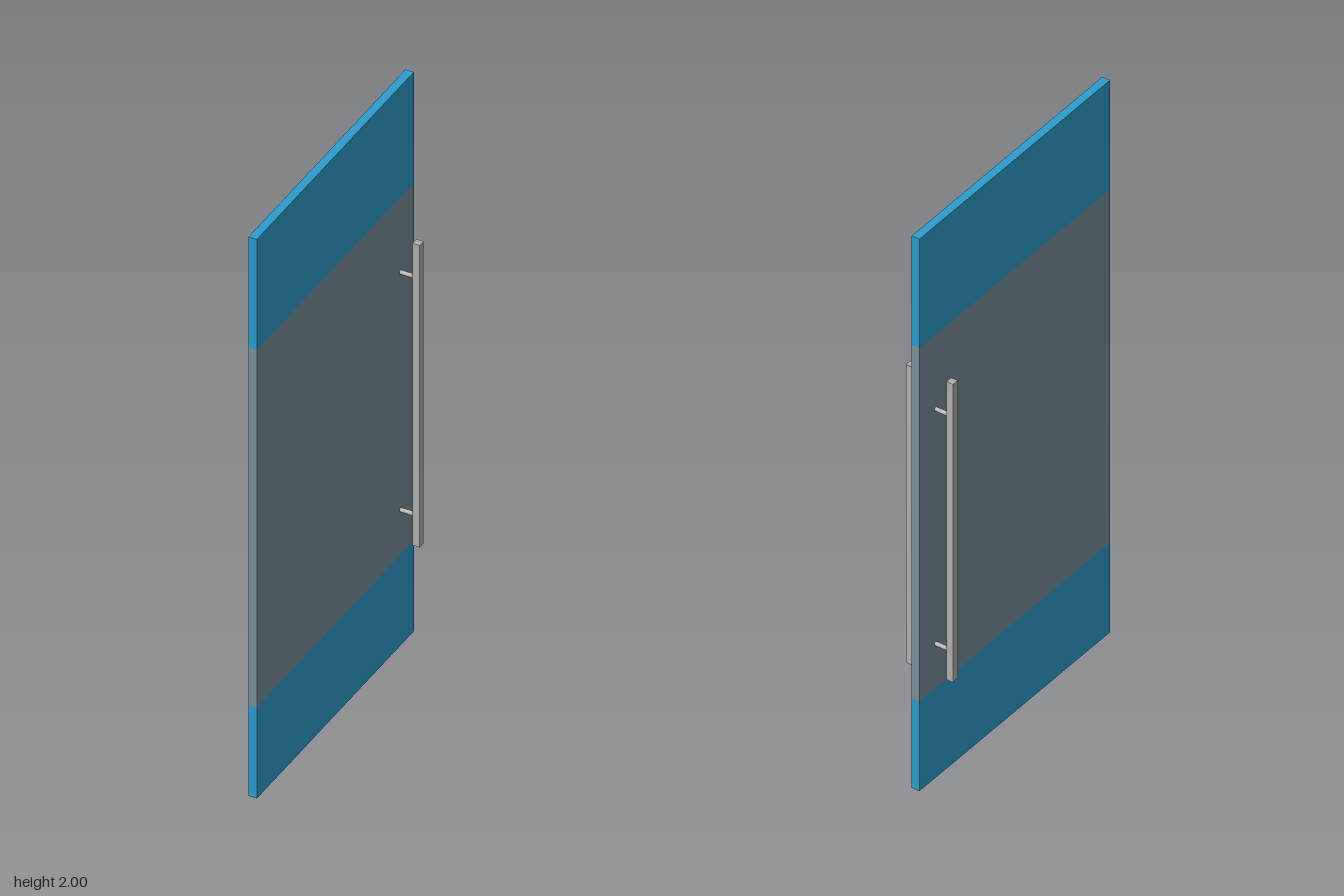
import * as THREE from 'three';

export function createModel() {
  const model = new THREE.Group();
  model.name = 'door';

  const blue = new THREE.MeshStandardMaterial({ color: 0x2e9bcc });
  blue.name = 'blue panel';
  const frosted = new THREE.MeshStandardMaterial({ color: 0x768f98 });
  frosted.name = 'grey band';
  const steel = new THREE.MeshStandardMaterial({ color: 0xb3b0ae });
  steel.name = 'brushed steel';

  const add = (parent, name, geometry, material, x, y, z) => {
    const mesh = new THREE.Mesh(geometry, material);
    mesh.name = name;
    mesh.position.set(x, y, z);
    parent.add(mesh);
    return mesh;
  };

  // Door leaf: three stacked slabs forming one flush panel
  const thickness = 0.028, width = 0.96;
  const slabs = [
    ['lowerPanel', 0, 0.325, blue],
    ['middleBand', 0.325, 1.605, frosted],
    ['upperPanel', 1.605, 2, blue],
  ];
  for (const [name, y0, y1, material] of slabs) {
    add(model, name, new THREE.BoxGeometry(thickness, y1 - y0, width), material, 0, (y0 + y1) / 2, 0);
  }

  // Pull handles: a square bar on two round standoffs, one on each face
  const handleZ = -0.398, barX = 0.0725, barSize = 0.024;
  for (const side of [1, -1]) {
    const handle = new THREE.Group();
    handle.name = side > 0 ? 'leftHandle' : 'rightHandle';
    add(handle, 'handleBar', new THREE.BoxGeometry(barSize, 1.08, barSize), steel, side * barX, 0.922, handleZ);

    const start = thickness / 2, end = barX - barSize / 2;
    for (const y of [0.486, 1.336]) {
      const rod = new THREE.CylinderGeometry(0.007, 0.007, end - start, 20, 1, true);
      rod.rotateZ(Math.PI / 2);
      add(handle, 'standoff', rod, steel, side * (start + end) / 2, y, handleZ);
    }
    model.add(handle);
  }

  return model;
}
